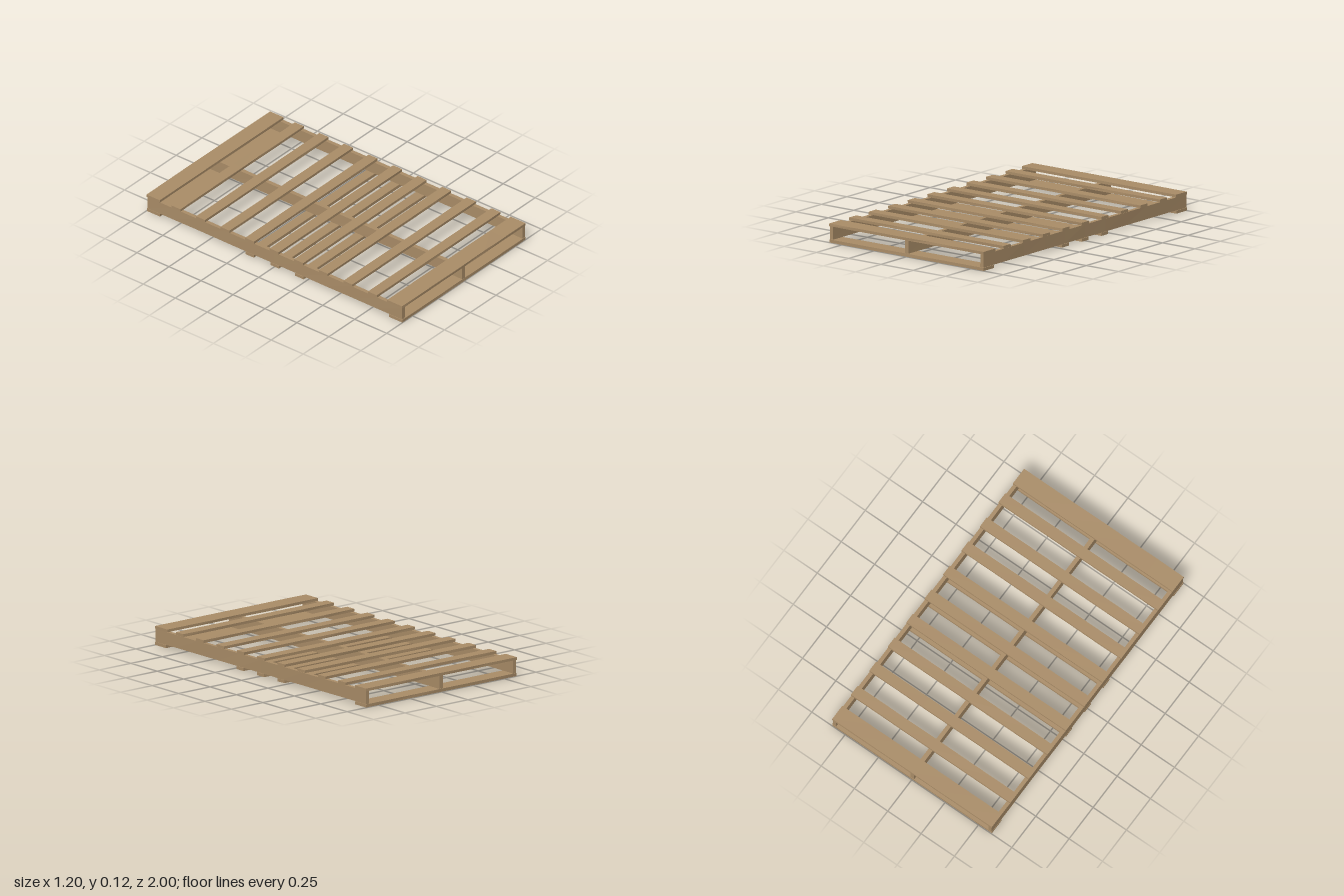
import * as THREE from 'three';

const wood = new THREE.MeshStandardMaterial({ color: 0xa98c67, flatShading: true });

// Repeatable 0..1 value for a corner, so shared corners stay joined
function wear(x, y, z, seed) {
  const s = Math.sin(x * 127.1 + y * 311.7 + z * 74.7 + seed * 19.3) * 43758.5453;
  return s - Math.floor(s);
}

// Rough-sawn board between two corners, its edges worn slightly inward
function board(name, [x0, y0, z0], [x1, y1, z1], seed) {
  const w = x1 - x0, h = y1 - y0, d = z1 - z0;
  const geo = new THREE.BoxGeometry(w, h, d, w > d ? 6 : 1, 1, d > w ? 10 : 1);
  const p = geo.attributes.position;
  for (let i = 0; i < p.count; i++) {
    const x = p.getX(i), y = p.getY(i), z = p.getZ(i);
    const kx = Math.round(x * 1000), ky = Math.round(y * 1000), kz = Math.round(z * 1000);
    const a = 0.002 * wear(kx, ky, kz, seed);
    const b = 0.001 * wear(kz, kx, ky, seed + 1);
    if (w > d) p.setXYZ(i, x, y - Math.sign(y) * b, z - Math.sign(z) * a);
    else p.setXYZ(i, x - Math.sign(x) * a, y - Math.sign(y) * b, z);
  }
  geo.computeVertexNormals();
  const mesh = new THREE.Mesh(geo, wood);
  mesh.name = name;
  mesh.position.set((x0 + x1) / 2, (y0 + y1) / 2, (z0 + z1) / 2);
  return mesh;
}

export function createModel() {
  const pallet = new THREE.Group();
  pallet.name = 'pallet';

  // Three long bearers standing on edge
  const bearers = new THREE.Group();
  bearers.name = 'bearers';
  [[-0.597, -0.570], [-0.015, 0.014], [0.570, 0.597]].forEach(([a, b], i) =>
    bearers.add(board('bearer' + (i + 1), [a, 0.022, -0.995], [b, 0.104, 0.997], i)));

  // Top deck: wide end boards and nine narrow slats, each [back z, front z]
  const topDeck = new THREE.Group();
  topDeck.name = 'topDeck';
  const topSlats = [[-1, -0.893]];
  for (let i = -4; i <= 4; i++) {
    const z = i * 0.192 - 0.001;
    topSlats.push([z - 0.036, z + 0.036]);
  }
  topSlats.push([0.882, 1]);
  topSlats.forEach(([a, b], i) =>
    topDeck.add(board('topSlat' + (i + 1), [-0.6, 0.104, a], [0.598, 0.122, b], 10 + i)));

  // Bottom deck: wide end boards and three slats near the middle
  const bottomDeck = new THREE.Group();
  bottomDeck.name = 'bottomDeck';
  [[-0.998, -0.893], [-0.227, -0.16], [-0.032, 0.035], [0.162, 0.229], [0.895, 1]].forEach(([a, b], i) =>
    bottomDeck.add(board('bottomSlat' + (i + 1), [-0.598, 0.002, a], [0.598, 0.022, b], 30 + i)));

  pallet.add(bearers, topDeck, bottomDeck);
  return pallet;
}
